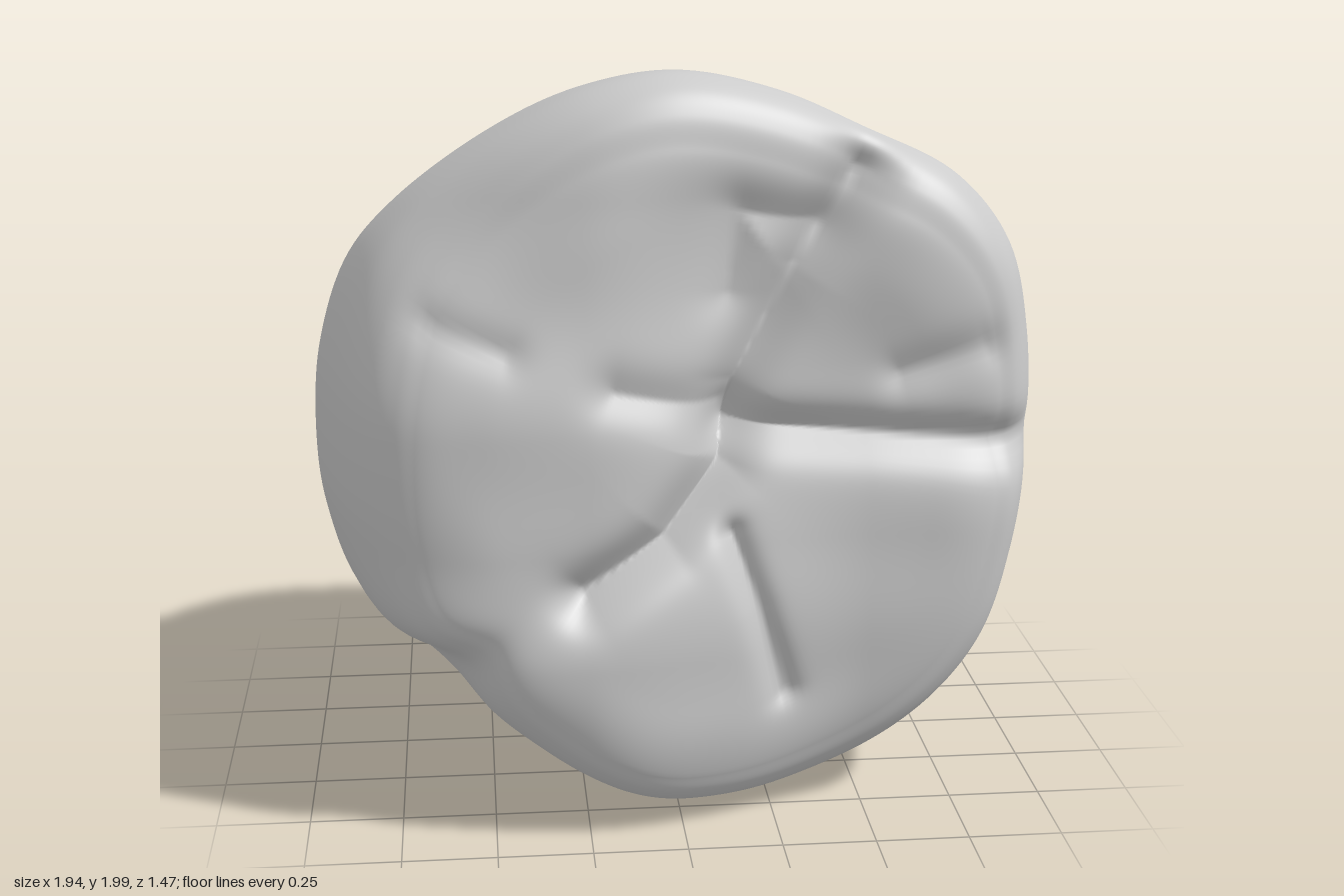
import * as THREE from 'three';

const SEG = 220, BACK = 20, WALL = 100, FRONT = 80;
const ss = THREE.MathUtils.smoothstep;
const bell = (d, w) => Math.exp(-(d * d) / (w * w));

// Widest outline of the crown, clockwise from the top (x, y)
const outline = [[0, 2], [0.27, 1.945], [0.5, 1.845], [0.75, 1.72], [0.9, 1.54], [0.96, 1.3], [0.97, 1],
  [0.935, 0.7], [0.86, 0.44], [0.72, 0.25], [0.52, 0.105], [0.3, 0.025], [0.12, 0.005], [-0.1, 0.03],
  [-0.3, 0.11], [-0.5, 0.24], [-0.7, 0.4], [-0.87, 0.57], [-0.95, 0.8], [-0.97, 1], [-0.95, 1.25],
  [-0.87, 1.5], [-0.75, 1.65], [-0.5, 1.84], [-0.25, 1.96]];

// Sections from back to front: z, left, right, bottom, top
const sections = [[-0.69, -0.35, 0.35, 0.4, 1.42], [-0.66, -0.46, 0.44, 0.33, 1.53], [-0.58, -0.58, 0.55, 0.23, 1.65],
  [-0.45, -0.68, 0.69, 0.14, 1.74], [-0.3, -0.77, 0.81, 0.075, 1.81], [-0.1, -0.88, 0.92, 0.03, 1.88],
  [0.1, -0.96, 0.96, 0.01, 1.95], [0.25, -0.94, 0.97, 0.012, 1.985], [0.42, -0.88, 0.955, 0.03, 2],
  [0.53, -0.81, 0.93, 0.06, 1.97], [0.59, -0.74, 0.895, 0.11, 1.91], [0.62, -0.68, 0.84, 0.17, 1.83]];

// Grooves of the chewing surface: depth, width, path
const grooves = [
  [0.12, 0.075, [[0.47, 1.75], [0.3, 1.5], [0.14, 1.2], [0.1, 1], [-0.05, 0.82], [-0.26, 0.69]]],
  [0.08, 0.065, [[0.12, 1.09], [0.5, 1.06], [0.95, 1.02]]],
  [0.045, 0.04, [[0.13, 0.82], [0.2, 0.62], [0.27, 0.38]]],
  [0.045, 0.07, [[-0.18, 1.22], [0.1, 1.15]]],
  [0.025, 0.05, [[-0.65, 1.4], [-0.45, 1.33]]],
  [0.04, 0.08, [[0.12, 1.45], [0.15, 1.66], [0.35, 1.62]]],
  [0.03, 0.06, [[0.58, 1.22], [0.8, 1.29]]]];

// Shallow hollows between the cusps: depth, radius, x, y
const hollows = [[0.05, 0.35, 0.12, 1.15], [0.04, 0.24, 0.1, 1.55], [0.03, 0.25, 0.55, 1.35],
  [0.02, 0.25, -0.35, 1.35], [0.06, 0.3, -0.72, 1.7]];

function pathDistance(x, y, path) {
  let best = 9;
  for (let i = 1; i < path.length; i++) {
    const [ax, ay] = path[i - 1], dx = path[i][0] - ax, dy = path[i][1] - ay;
    const t = THREE.MathUtils.clamp(((x - ax) * dx + (y - ay) * dy) / (dx * dx + dy * dy), 0, 1);
    best = Math.min(best, Math.hypot(x - ax - t * dx, y - ay - t * dy));
  }
  return best;
}

// Slant of the back face
const tilt = (x, y) => -0.09 * x - 0.08 * (y - 1);

// Height of the chewing surface relative to the last section
function relief(x, y) {
  const tall = 0.085 - 0.03 * ss(y, 0.5, 0.8) - 0.09 * ss(y, 1.12, 1.7);
  const low = -0.07 - 0.035 * ss(y, 0.8, 1.25);
  let h = THREE.MathUtils.lerp(tall, low, ss(x, -0.25, 0.5));
  for (const [depth, radius, cx, cy] of hollows) h -= depth * bell(Math.hypot(x - cx, y - cy), radius);
  for (const [depth, width, path] of grooves) {
    const d = pathDistance(x, y, path);
    h -= depth * (0.6 * Math.exp(-d / width) + 0.4 * bell(d, width));
  }
  return h;
}

// Vertex on the side wall, with its notches and creases
function wallPoint([px, py], [z, left, right, bottom, top]) {
  let x = px * (px > 0 ? right : -left) / 0.97;
  let y = 1 + (py - 1) * (py > 1 ? top - 1 : 1 - bottom) / (py > 1 ? 1 : 0.995);
  const angle = Math.atan2(y - 1, x);
  let push = -0.015 * ss(z, 0.4, 0.6) * (x > 0 ? bell(y - 1.02, 0.06) : 0);
  push -= 0.065 * ss(z, 0.15, 0.55) * bell(angle + 2.43, 0.14);
  const ledge = (d, w) => w * (0.012 * Math.tanh(d / 0.015) * Math.exp(-Math.abs(d) / 0.13) - 0.006 * bell(d, 0.02));
  if (x > 0) push += ledge(z + 0.34 - 0.3 * (y - 0.95) ** 2, ss(y, 0.15, 0.4) * (1 - ss(y, 1.3, 1.55)));
  else if (y > 1) push += ledge(z + 0.07 * ss(-x, 0.15, 0.75), ss(-x, 0.1, 0.4) * ss(y, 1.05, 1.25));
  x += Math.cos(angle) * push;
  y += Math.sin(angle) * push;
  const dz = ss(z, 0.2, 0.62) * relief(x, y) + ss(-z, 0.3, 0.69) * tilt(x, y);
  return [x, y, z + dz];
}

function crownGeometry() {
  const curve = new THREE.CatmullRomCurve3(outline.map(([x, y]) => new THREE.Vector3(x, y, 0)).reverse(), true);
  const ring = curve.getSpacedPoints(SEG).slice(0, SEG).map(p => [p.x, p.y]);
  const spline = f => new THREE.CatmullRomCurve3(sections.map(f), false, 'catmullrom', 0.5);
  const sides = spline(s => new THREE.Vector3(s[1], s[2], s[0]));
  const ends = spline(s => new THREE.Vector3(s[3], s[4], s[0]));
  const rows = [];
  for (let i = 0; i <= WALL; i++) {
    const a = sides.getPoint(i / WALL), b = ends.getPoint(i / WALL);
    rows.push(ring.map(p => wallPoint(p, [a.z, a.x, a.y, b.x, b.y])));
  }
  // Nearly flat back, closing to its middle
  const first = rows[0];
  for (let i = 1; i <= BACK; i++) {
    const k = 1 - i / BACK;
    rows.unshift(first.map(([x, y]) => {
      const u = x * k, v = 0.93 + (y - 0.93) * k;
      return [u, v, -0.69 - 0.016 * (1 - k ** 4) + tilt(u, v)];
    }));
  }
  // Chewing surface, rounded over just inside the rim
  const last = rows[rows.length - 1];
  for (let i = 1; i <= FRONT; i++) {
    const k = 1 - i / FRONT;
    rows.push(last.map(([x, y]) => {
      const u = 0.1 + (x - 0.1) * k, v = 1.05 + (y - 1.05) * k;
      const ripple = 0.008 * Math.sin(8 * u + 4 * v) * Math.sin(10 * v - 5 * u) * ss(1 - k, 0, 0.25);
      return [u, v, 0.62 + 0.032 * (1 - Math.exp(-(1 - k) / 0.1)) + relief(u, v) + ripple];
    }));
  }
  const index = [];
  for (let i = 0; i < rows.length - 1; i++) {
    for (let j = 0; j < SEG; j++) {
      const n = (j + 1) % SEG, a = i * SEG + j, b = i * SEG + n;
      index.push(a, b, b + SEG, a, b + SEG, a + SEG);
    }
  }
  const geometry = new THREE.BufferGeometry();
  geometry.setAttribute('position', new THREE.Float32BufferAttribute(rows.flat(2), 3));
  geometry.setIndex(index);
  geometry.computeVertexNormals();
  return geometry;
}

export function createModel() {
  const group = new THREE.Group();
  group.name = 'molar';
  const crown = new THREE.Mesh(crownGeometry(), new THREE.MeshStandardMaterial({ color: 0xcccccc }));
  crown.name = 'crown';
  group.add(crown);
  return group;
}
